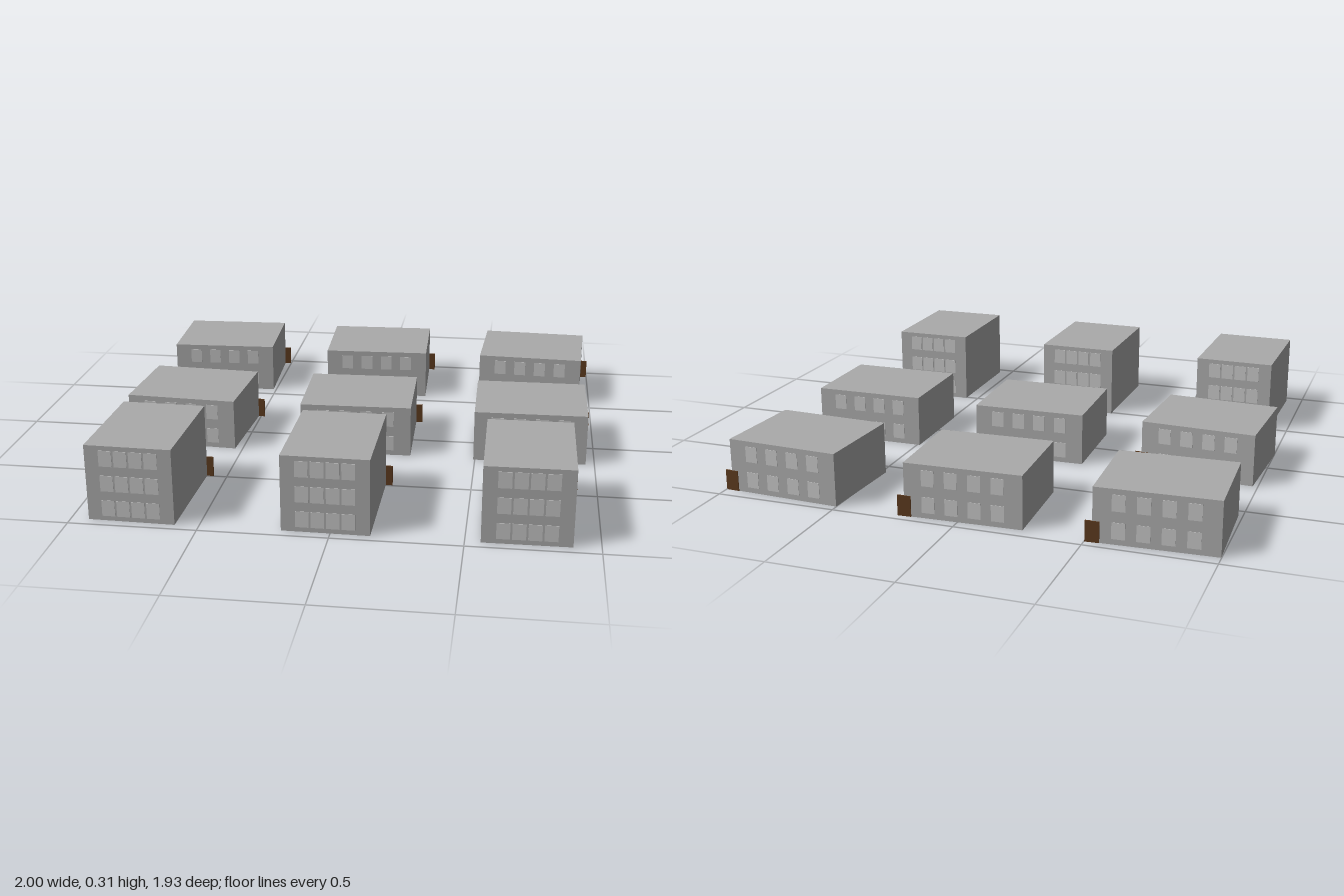
import * as THREE from 'three';

export function createModel() {
  const group = new THREE.Group();
  const wall = new THREE.MeshStandardMaterial({ name: 'grey wall', color: 0xaaaaaa });
  const glass = new THREE.MeshStandardMaterial({ name: 'pale window', color: 0xc4c4c4 });
  const wood = new THREE.MeshStandardMaterial({ name: 'brown door', color: 0x5c3a1e });

  function box(parent, name, material, size, position) {
    const mesh = new THREE.Mesh(new THREE.BoxGeometry(...size), material);
    mesh.name = name;
    mesh.position.set(...position);
    parent.add(mesh);
  }

  // One block: walls, four window columns on front and back, a door on the back corner
  function building({ name, w, h, d, floors, pitch }, x, z, turn) {
    const b = new THREE.Group();
    b.name = name;
    b.position.set(x, 0, z);
    b.rotation.y = turn;
    box(b, 'walls', wall, [w, h, d], [0, h / 2, 0]);
    for (const side of [-1, 1]) {
      for (let row = 0; row < floors; row++) {
        for (let col = 0; col < 4; col++) {
          box(b, 'window', glass, [0.051, 0.064, 0.004],
            [(col - 1.5) * pitch, (row + 0.5) * h / floors, side * d / 2]);
        }
      }
    }
    box(b, 'door', wood, [0.055, 0.083, 0.006], [w / 2, 0.0415, -d / 2]);
    group.add(b);
  }

  const tall = { name: 'tallBuilding', w: 0.337, h: 0.305, d: 0.47, floors: 3, pitch: 0.0585 };
  const low = { name: 'lowBuilding', w: 0.47, h: 0.215, d: 0.4, floors: 2, pitch: 0.092 };

  // Rows from back to front, each block turned slightly
  const rows = [
    [low, -0.755, [0.04, 0.034, -0.05]],
    [low, -0.015, [-0.057, 0.025, 0.012]],
    [tall, 0.726, [-0.023, -0.012, 0.008]],
  ];
  for (const [type, z, turns] of rows) {
    turns.forEach((turn, i) => building(type, -0.756 + i * 0.741, z, turn));
  }
  return group;
}
